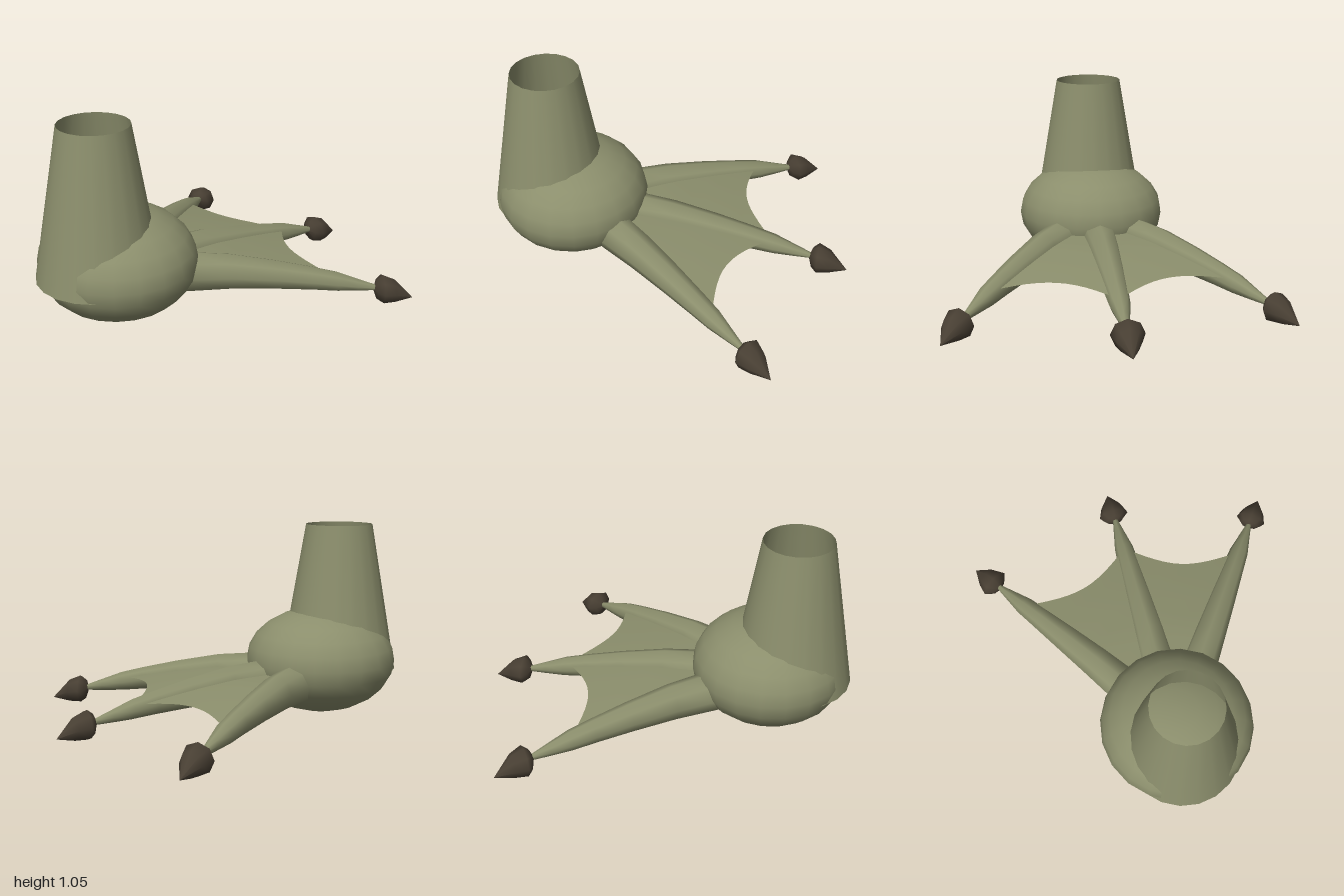
import * as THREE from 'three';

const skin = new THREE.MeshStandardMaterial({ color: 0x8b8e6c, side: THREE.DoubleSide });
skin.name = 'olive skin';
const horn = new THREE.MeshStandardMaterial({ color: 0x483f33 });
horn.name = 'dark horn';

const ANKLE_Z = 0.56;
const SPREAD = 0.602; // angle between neighbouring toes

// Sections along a toe: [distance, centre height, half width, half height]
const TOE = [
  [0.34, 0.21, 0.106, 0.11], [0.58, 0.205, 0.092, 0.098], [0.82, 0.18, 0.077, 0.08],
  [1.02, 0.152, 0.063, 0.064], [1.15, 0.13, 0.054, 0.053], [1.26, 0.107, 0.033, 0.034],
  [1.37, 0.085, 0.012, 0.014],
];
const CLAW = [
  [1.345, 0.08, 0, 0], [1.365, 0.078, 0.052, 0.056], [1.395, 0.078, 0.086, 0.078],
  [1.46, 0.066, 0.062, 0.064], [1.56, 0.022, 0, 0],
];

function surface(points, index) {
  const g = new THREE.BufferGeometry();
  g.setAttribute('position', new THREE.Float32BufferAttribute(points, 3));
  g.setIndex(index);
  g.computeVertexNormals();
  return g;
}

// Closed-section loft running towards -z
function loft(sections, sides) {
  const pts = [], idx = [];
  sections.forEach(([d, y, w, h], i) => {
    for (let j = 0; j < sides; j++) {
      const a = (j / sides) * Math.PI * 2;
      pts.push(Math.cos(a) * w, y + Math.sin(a) * h, -d);
      if (i === sections.length - 1) continue;
      const p = i * sides + j, q = i * sides + (j + 1) % sides;
      idx.push(p, p + sides, q, q, p + sides, q + sides);
    }
  });
  return surface(pts, idx);
}

// Height of the webbing, following the upper part of the toes
function webHeight(d) {
  let i = 0;
  while (i < TOE.length - 2 && TOE[i + 1][0] < d) i++;
  const a = TOE[i], b = TOE[i + 1], t = (d - a[0]) / (b[0] - a[0]);
  const mix = (k) => a[k] + (b[k] - a[k]) * t;
  return mix(1) + 0.4 * mix(3);
}

// Thin membrane with a scooped outer edge
function webGeometry(side) {
  const N = 12, M = 8, pts = [], idx = [];
  for (let i = 0; i <= N; i++) {
    const u = i / N, angle = side * u * SPREAD;
    const end = 0.985 + 0.15 * (2 * u - 1) ** 2;
    for (let j = 0; j <= M; j++) {
      const d = 0.34 + (end - 0.34) * (j / M);
      pts.push(Math.sin(angle) * d, webHeight(d), -Math.cos(angle) * d);
      if (i === N || j === M) continue;
      const p = i * (M + 1) + j, q = p + M + 1;
      if (side > 0) idx.push(p, q, p + 1, q, q + 1, p + 1);
      else idx.push(p, p + 1, q, q, p + 1, q + 1);
    }
  }
  return surface(pts, idx);
}

export function createModel() {
  const model = new THREE.Group();
  model.name = 'webbedFoot';
  const add = (parent, name, geometry, material) => {
    const m = new THREE.Mesh(geometry, material);
    m.name = name;
    parent.add(m);
    return m;
  };

  // Rounded ankle
  const ankle = add(model, 'ankle', new THREE.SphereGeometry(1, 20, 12), skin);
  ankle.scale.set(0.417, 0.293, 0.417);
  ankle.position.set(0, 0.293, ANKLE_Z);

  // Open tapering shin
  const shin = add(model, 'shin', new THREE.CylinderGeometry(0.185, 0.325, 0.815, 20, 1, true), skin);
  shin.position.set(0, 0.6425, 0.675);

  // Three toes with claws, fanned around the ankle
  const toeGeometry = loft(TOE, 8), clawGeometry = loft(CLAW, 8);
  [['left', 1], ['middle', 0], ['right', -1]].forEach(([name, side]) => {
    const toe = new THREE.Group();
    toe.name = name + 'Toe';
    toe.position.z = ANKLE_Z;
    toe.rotation.y = -side * SPREAD;
    add(toe, name + 'ToeBody', toeGeometry, skin);
    add(toe, name + 'Claw', clawGeometry, horn);
    model.add(toe);
  });

  // Webbing on both sides of the middle toe
  for (const side of [1, -1]) {
    const web = add(model, side > 0 ? 'leftWeb' : 'rightWeb', webGeometry(side), skin);
    web.position.z = ANKLE_Z;
  }
  return model;
}
